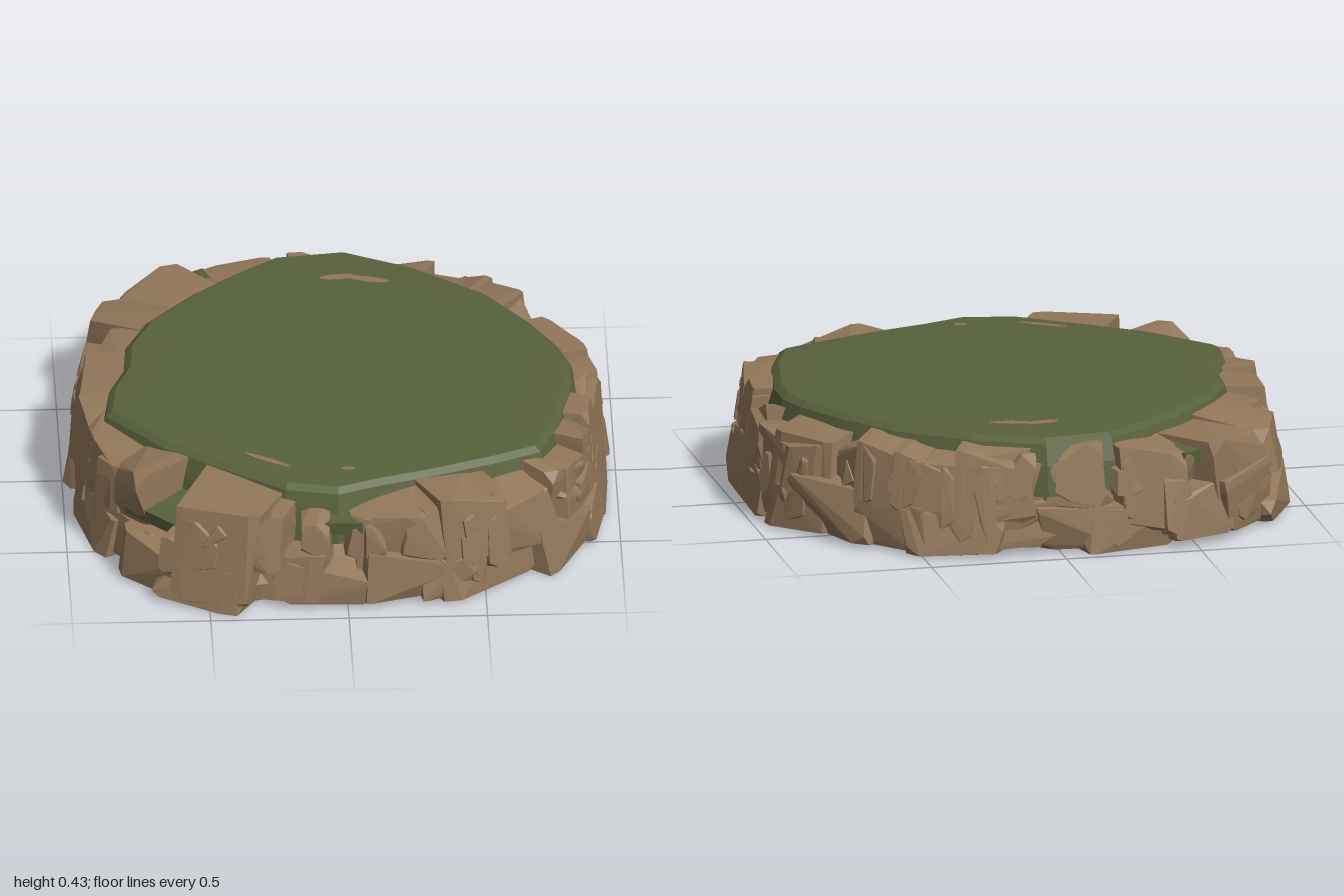
import * as THREE from 'three';
import { mergeGeometries } from 'three/addons/utils/BufferGeometryUtils.js';
import { ConvexGeometry } from 'three/addons/geometries/ConvexGeometry.js';

// Plan outlines as [x, z], running from +x towards +z
const RIM = [
  [0.97, 0], [0.95, 0.2], [0.94, 0.38], [0.9, 0.54], [0.83, 0.63], [0.67, 0.79], [0.43, 0.9], [0.2, 0.93],
  [0, 0.94], [-0.2, 0.93], [-0.37, 0.97], [-0.55, 0.92], [-0.71, 0.84], [-0.81, 0.69], [-0.82, 0.58], [-0.93, 0.45],
  [-0.96, 0.3], [-0.97, 0.15], [-1, 0.07], [-0.96, -0.1], [-0.96, -0.4], [-0.93, -0.53], [-0.88, -0.7],
  [-0.75, -0.79], [-0.64, -0.93], [-0.37, -0.97], [-0.2, -0.96], [0.05, -0.96], [0.28, -0.93], [0.5, -0.87],
  [0.64, -0.78], [0.73, -0.66], [0.8, -0.52], [0.92, -0.46], [0.95, -0.3], [0.99, -0.2],
];
const LAWN = [
  [0.05, -0.89], [0.3, -0.77], [0.55, -0.58], [0.7, -0.38], [0.8, -0.2], [0.84, -0.08], [0.84, 0.05], [0.81, 0.2],
  [0.78, 0.35], [0.71, 0.53], [0.55, 0.6], [0.3, 0.69], [0.13, 0.74], [-0.03, 0.8], [-0.22, 0.76], [-0.45, 0.6],
  [-0.65, 0.45], [-0.85, 0.22], [-0.83, 0.05], [-0.77, -0.1], [-0.76, -0.25], [-0.68, -0.42], [-0.5, -0.62],
  [-0.35, -0.75], [-0.2, -0.86],
];

// Distance from the centre to an outline in direction a
function radiusAt(outline, a) {
  const c = Math.cos(a), s = Math.sin(a);
  let best = 0;
  outline.forEach(([x0, z0], i) => {
    const [x1, z1] = outline[(i + 1) % outline.length];
    const d0 = x0 * s - z0 * c, d1 = x1 * s - z1 * c;
    if (d0 * d1 > 0 || d0 === d1) return;
    const t = d0 / (d0 - d1);
    best = Math.max(best, (x0 + t * (x1 - x0)) * c + (z0 + t * (z1 - z0)) * s);
  });
  return best;
}

// Stacks scaled copies of an outline, given as [scale, y], and closes both ends
function loft(outline, rings) {
  const pos = [], n = outline.length;
  const P = (r, i) => [outline[i % n][0] * rings[r][0], rings[r][1], outline[i % n][1] * rings[r][0]];
  const last = rings.length - 1;
  for (let i = 0; i < n; i++) {
    pos.push(0, rings[0][1], 0, ...P(0, i), ...P(0, i + 1));
    pos.push(0, rings[last][1], 0, ...P(last, i + 1), ...P(last, i));
    for (let r = 0; r < last; r++) {
      pos.push(...P(r, i), ...P(r + 1, i), ...P(r, i + 1));
      pos.push(...P(r + 1, i), ...P(r + 1, i + 1), ...P(r, i + 1));
    }
  }
  const g = new THREE.BufferGeometry();
  g.setAttribute('position', new THREE.Float32BufferAttribute(pos, 3));
  g.computeVertexNormals();
  return g;
}

export function createModel() {
  const rock = new THREE.MeshStandardMaterial({ color: 0x92775a, flatShading: true });
  rock.name = 'rock brown';
  const grass = new THREE.MeshStandardMaterial({ color: 0x58613c, flatShading: true });
  grass.name = 'grass green';

  let seed = 17;
  const rnd = (a = 0, b = 1) => {
    seed = (seed * 1664525 + 1013904223) % 4294967296;
    return a + (b - a) * seed / 4294967296;
  };

  const model = new THREE.Group();
  const add = (name, geometry, material) => {
    const m = new THREE.Mesh(geometry, material);
    m.name = name;
    model.add(m);
    return m;
  };

  // One angular block: jittered box corners, chamfered, kept inside the battered rim
  function boulder(a, width, y0, y1, inset) {
    const R = radiusAt(RIM, a), depth = R - radiusAt(LAWN, a) + 0.07;
    const yaw = a + rnd(-0.16, 0.16), lean = rnd(-0.025, 0.025);
    const pts = [];
    for (const o of [0, 1]) for (const t of [-1, 1]) for (const u of [0, 1]) {
      const bx = o ? R - inset + rnd(-0.05, 0.05) : R - depth + rnd(-0.03, 0.03);
      const by = (u ? y1 - o * rnd(0, 0.06) : y0) + rnd(-0.012, 0.012) + t * lean * u;
      const bt = t * width * rnd(0.4, 0.55);
      const cut = rnd(0.015, 0.06);
      const corners = [[bx - o * cut, by, bt], [bx, by, bt - t * cut], [bx, by + (u ? -cut : cut * 0.6), bt]];
      for (const [r, y, s] of corners) {
        let x = Math.cos(a) * R + Math.cos(yaw) * (r - R) - Math.sin(yaw) * s;
        let z = Math.sin(a) * R + Math.sin(yaw) * (r - R) + Math.cos(yaw) * s;
        const yy = THREE.MathUtils.clamp(y, 0.004, 0.405);
        const limit = radiusAt(RIM, Math.atan2(z, x)) * (1.01 - 0.17 * yy);
        const k = Math.min(1, limit / Math.hypot(x, z));
        pts.push(new THREE.Vector3(x * k, yy, z * k));
      }
    }
    return new ConvexGeometry(pts);
  }

  // Rings of boulders; gap(a) leaves openings where the grass shows
  function tier(name, count, width, bottom, top, inset, gap = () => false) {
    const list = [];
    for (let i = 0; i < count; i++) {
      const a = (i + rnd(-0.3, 0.3)) / count * Math.PI * 2;
      const g = boulder(a, rnd(...width), rnd(...bottom), rnd(...top), rnd(...inset));
      if (!gap(a)) list.push(g);
    }
    add(name, mergeGeometries(list), rock);
  }
  const openings = [[2.36, 0.14], [1.6, 0.08], [4.17, 0.09], [5.9, 0.05]];
  const inOpening = a => openings.some(([c, w]) => Math.abs(a - c) < w);

  // Rock body and flat underside
  add('rockBody', loft(RIM, [[0.92, 0.02], [0.93, 0.09], [0.86, 0.2], [0.8, 0.24]]), rock);
  tier('lowerBoulders', 27, [0.22, 0.42], [0.01, 0.03], [0.17, 0.26], [-0.02, 0.03]);
  tier('upperBoulders', 30, [0.16, 0.34], [0.12, 0.2], [0.35, 0.41], [0, 0.06], inOpening);
  tier('tallBoulders', 13, [0.2, 0.34], [0.03, 0.1], [0.35, 0.4], [0, 0.04], inOpening);
  tier('smallStones', 40, [0.07, 0.15], [0.04, 0.24], [0.27, 0.4], [-0.01, 0.06], inOpening);

  // Grass plateau with a sloping skirt behind the stones
  add('grassTop', loft(LAWN, [[1.05, 0.22], [1.03, 0.33], [1, 0.405], [0.97, 0.424], [0.8, 0.43]]), grass);

  // Grassy ledges between stones: [angle, radius, width, depth, y]
  [[2.36, 0.87, 0.3, 0.2, 0.25], [4.17, 0.91, 0.15, 0.2, 0.33], [1.6, 0.8, 0.16, 0.14, 0.31]].forEach(([a, r, w, d, y]) => {
    const ledge = add('grassLedge', new THREE.BoxGeometry(d, 0.05, w), grass);
    ledge.position.set(Math.cos(a) * r, y, Math.sin(a) * r);
    ledge.rotation.set(0, -a, -0.12, 'YXZ');
  });

  // Thin slivers of bare rock on the lawn: [x, z, length, width, turn]
  [[0.02, -0.68, 0.13, 0.035, 0.1], [0.13, -0.66, 0.16, 0.035, -0.25], [-0.28, 0.59, 0.19, 0.025, -0.56],
    [0.01, 0.66, 0.05, 0.02, 0]].forEach(([x, z, l, w, turn]) => {
    const sliver = add('bareRock', new THREE.CylinderGeometry(0.5, 0.5, 0.008, 10), rock);
    sliver.scale.set(l, 1, w);
    sliver.position.set(x, 0.429, z);
    sliver.rotation.y = turn;
  });
  return model;
}
